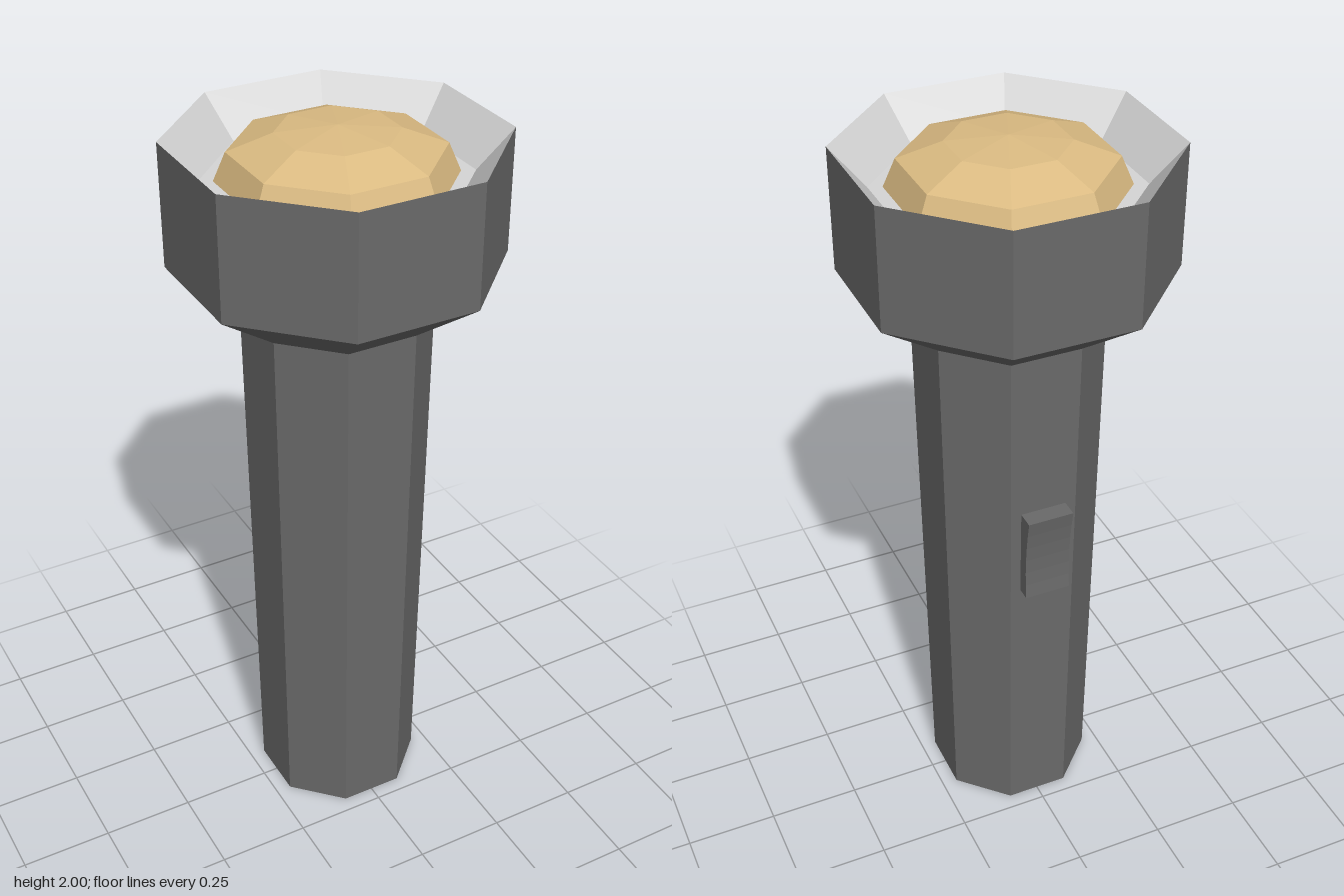
import * as THREE from 'three';

const SIDES = 8;
const CORNER = 1 / Math.cos(Math.PI / SIDES); // flat-to-centre distance -> corner radius

const material = (name, color) => {
  const m = new THREE.MeshStandardMaterial({ color });
  m.name = name;
  return m;
};

// Faceted octagonal solid from [flat distance, height] pairs, flats facing the axes
function octagon(name, profile, mat) {
  const points = profile.map(([r, y]) => new THREE.Vector2(r * CORNER, y));
  const geometry = new THREE.LatheGeometry(points, SIDES, Math.PI / SIDES).toNonIndexed();
  geometry.computeVertexNormals();
  const mesh = new THREE.Mesh(geometry, mat);
  mesh.name = name;
  return mesh;
}

export function createModel() {
  const casing = material('dark grey casing', 0x6a6a6a);
  const silver = material('silver reflector', 0xd6d6d6);
  const glass = material('warm lens', 0xdbbb82);

  const group = new THREE.Group();
  group.name = 'flashlight';

  // Tapered handle flaring into the head
  group.add(octagon('body', [[0, 0], [0.208, 0], [0.228, 1.52], [0.394, 1.65], [0.394, 1.975]], casing));

  // Dished reflector inside the head
  group.add(octagon('reflector', [[0.394, 1.975], [0.31, 1.87], [0, 1.87]], silver));

  // Domed lens standing on the reflector floor
  group.add(octagon('lens', [[0.276, 1.87], [0.247, 1.943], [0.142, 1.986], [0, 2]], glass));

  // Thumb switch on the back, with a hollowed face
  const width = 0.125;
  const profile = new THREE.Shape();
  profile.moveTo(0.2, 0.8);
  profile.lineTo(0.256, 0.8);
  profile.quadraticCurveTo(0.243, 0.92, 0.27, 1.055);
  profile.lineTo(0.2, 1.055);
  profile.closePath();
  const switchGeometry = new THREE.ExtrudeGeometry(profile, { depth: width, bevelEnabled: false, curveSegments: 6 });
  switchGeometry.translate(0, 0, -width / 2).rotateY(Math.PI / 2);
  const thumbSwitch = new THREE.Mesh(switchGeometry, casing);
  thumbSwitch.name = 'switch';
  group.add(thumbSwitch);

  return group;
}
